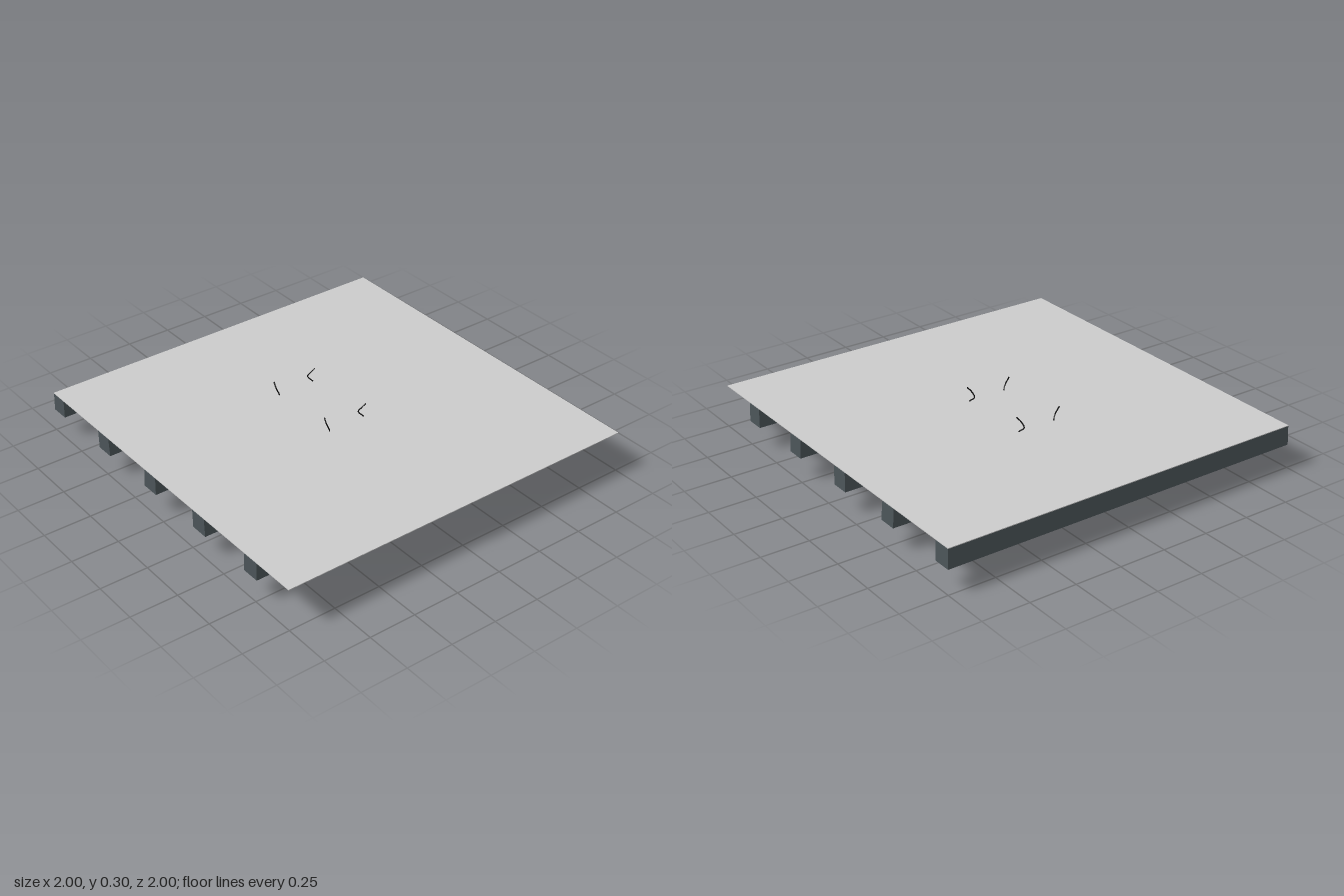
import * as THREE from 'three';

const mat = (color) => new THREE.MeshStandardMaterial({ color, flatShading: true, side: THREE.DoubleSide });

// Closed loft through rectangular rings [halfLength, halfWidth, y], capped at the last ring
function loftRects(rings) {
  const pos = [], idx = [];
  for (const [l, w, y] of rings) pos.push(-l, y, w, l, y, w, l, y, -w, -l, y, -w);
  for (let r = 0; r < rings.length - 1; r++) {
    for (let i = 0; i < 4; i++) {
      const a = r * 4 + i, b = r * 4 + (i + 1) % 4;
      idx.push(a, b, b + 4, a, b + 4, a + 4);
    }
  }
  const t = (rings.length - 1) * 4;
  idx.push(t, t + 1, t + 2, t, t + 2, t + 3);
  const g = new THREE.BufferGeometry();
  g.setAttribute('position', new THREE.Float32BufferAttribute(pos, 3));
  g.setIndex(idx);
  const flat = g.toNonIndexed();
  flat.computeVertexNormals();
  return flat;
}

export function createModel() {
  const model = new THREE.Group();
  const grey = mat(0xcccccc), beamMat = mat(0x4b5458), shadeMat = mat(0x1b3331);
  const wireMat = mat(0x111111);

  const add = (parent, name, geometry, material, x = 0, y = 0, z = 0) => {
    const mesh = new THREE.Mesh(geometry, material);
    mesh.name = name;
    mesh.position.set(x, y, z);
    parent.add(mesh);
    return mesh;
  };

  // Thin ceiling sheet
  add(model, 'ceilingPanel', new THREE.BoxGeometry(1.99, 0.004, 1.99), grey, -0.005, 0.224, 0.005);

  // Beams under the sheet, each slightly tapered
  [0.715, 0.305, -0.1, -0.517, -0.943].forEach((z, i) => {
    const g = new THREE.BoxGeometry(1.99, 0.098, 0.094);
    const p = g.attributes.position;
    const lean = i % 2 ? 0.004 : -0.004;
    for (let v = 0; v < p.count; v++) {
      if (p.getY(v) < 0) p.setZ(v, p.getZ(v) * 1.04 + lean);
      if (p.getX(v) > 0 && p.getY(v) < 0) p.setX(v, 1);
    }
    g.computeVertexNormals();
    add(model, 'beam' + (i + 1), g, beamMat, -0.004, 0.173, z);
  });

  // Suspension wires, bottom to top, relative to the lamp centre
  const wirePaths = [
    [[-0.145, 0.115, 0.012], [-0.15, 0.14, 0.004], [-0.135, 0.165, 0.018], [-0.125, 0.19, 0.008],
      [-0.113, 0.225, 0.024], [-0.126, 0.255, 0.03], [-0.132, 0.28, 0.02], [-0.131, 0.302, 0.006]],
    [[0.112, 0.115, 0.014], [0.113, 0.14, 0.005], [0.11, 0.165, 0.016], [0.112, 0.19, 0.01],
      [0.1, 0.225, 0.022], [0.082, 0.25, 0.034], [0.09, 0.28, 0.018], [0.108, 0.302, 0.008]],
  ];
  // The wires pass through the sheet leaning slightly towards the front
  const wires = wirePaths.map((path, k) => {
    const pts = path.map(([x, y, z]) => new THREE.Vector3(x, y, k && y > 0.23 ? 0.036 - z : z));
    return new THREE.TubeGeometry(new THREE.CatmullRomCurve3(pts), 24, 0.0035, 5);
  });

  // Hanging lamps with hollow undersides
  [0.11, -0.305].forEach((z, i) => {
    const lamp = new THREE.Group();
    lamp.name = i ? 'backLamp' : 'frontLamp';
    lamp.position.z = z;
    const shade = loftRects([
      [0.395, 0.032, 0.03], [0.4, 0.036, 0.001], // recess wall
      [0.422, 0.053, 0], [0.42, 0.053, 0.006], [0.404, 0.051, 0.04], // rim and curved ends
      [0.38, 0.049, 0.077], [0.358, 0.047, 0.104], [0.344, 0.046, 0.118],
    ]);
    add(lamp, 'shade', shade, shadeMat, -0.009);
    add(lamp, 'recessPlate', new THREE.BoxGeometry(0.79, 0.003, 0.064), shadeMat, -0.009, 0.031);
    add(lamp, 'lightStrip', new THREE.BoxGeometry(0.74, 0.014, 0.026), grey, -0.009, 0.022);
    wires.forEach((g, k) => add(lamp, k ? 'leftWire' : 'rightWire', g, wireMat));
    model.add(lamp);
  });

  return model;
}
